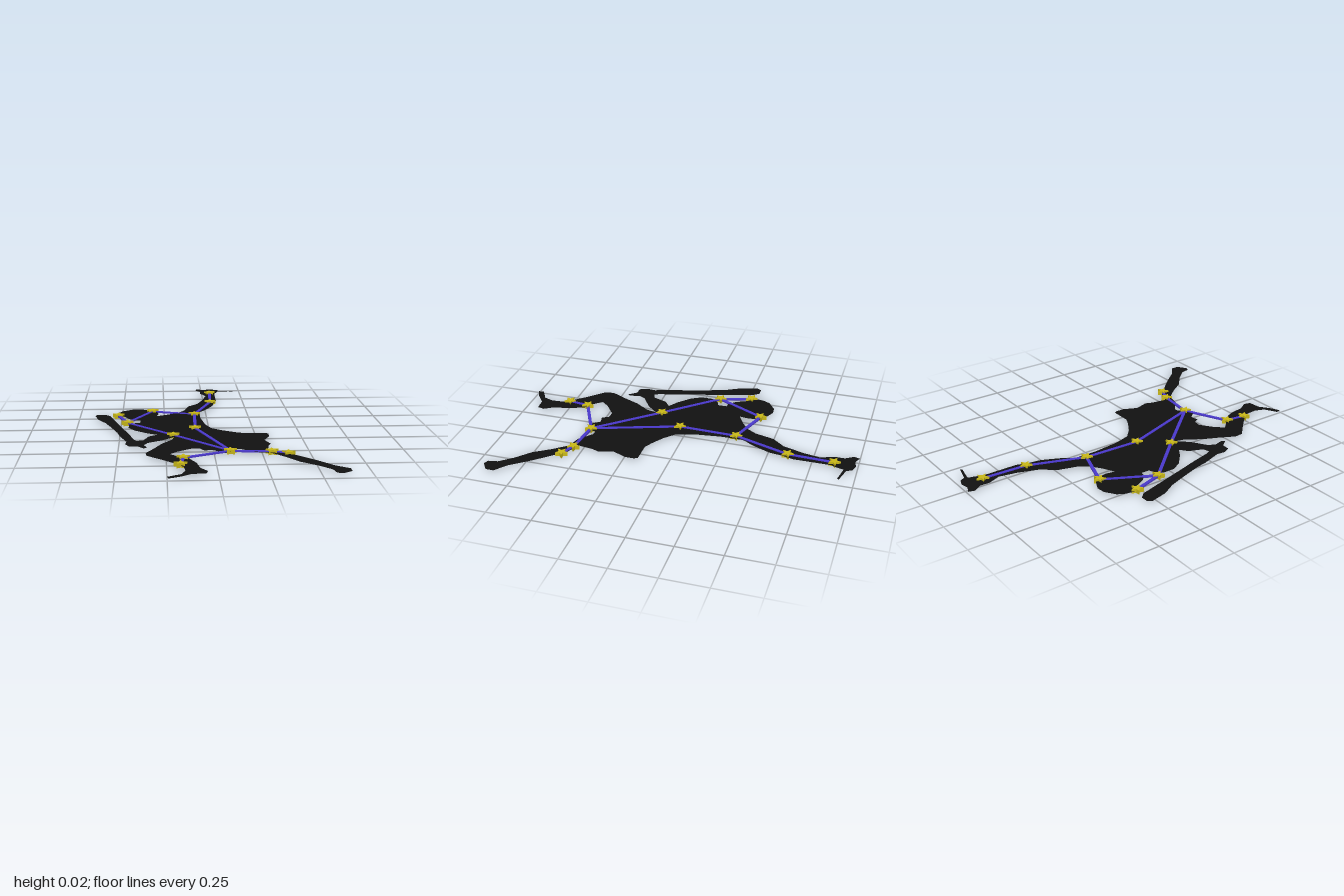
import * as THREE from 'three';

const MID = 0.012; // height of the flat figure
const black = new THREE.MeshStandardMaterial({ color: 0x111111, side: THREE.DoubleSide });
const purple = new THREE.MeshStandardMaterial({ color: 0x4a38cc });
const gold = new THREE.MeshStandardMaterial({ color: 0xc9b818 });

// Outlines seen from above: x, z pairs in hundredths of a unit
const outlines = {
  headAndTorso: [
    -53, -30, -52, -35, -50, -39, -44, -43, -39, -43.5, -34, -41, -29.5, -38, -28.5, -31, -29.5, -25.5,
    -23, -29, -17, -33, -4, -34, -4, -21, -2, -5, 1, 4.5, 7, 10, 14, 14.5, 19, 17, 31, 17, 32, 19, 32, 24,
    28.5, 32, 31, 40, 29, 45, 28, 53, 14, 49.5, 11, 49.5, 9.5, 55, 4, 56, -0.5, 50.5, -5, 51.5, -7, 48,
    -11.5, 47.5, -21.5, 29, -20, 23, -29.5, 18, -35, 14.5, -42, 8, -45.5, 2, -45.5, -5, -42, -9,
    -39, -10, -39, -15, -42, -15.5, -45.5, -19, -48.5, -25],
  raisedArm: [
    -17, -33, -13, -39, -10, -50, -4, -57, -2, -63, 0, -69, 2, -79, -1, -86, -1, -92, -4, -96.5, -3, -100,
    1, -98, 6, -99, 10, -97.5, 11.5, -94.5, 21, -92, 20.5, -91, 10.5, -93, 9.5, -89, 8, -86, 8, -74, 8, -65,
    6, -58, 5, -51, 0, -40, -4, -34, -4, -21, -20, -25],
  loweredArm: [
    -29.5, 18, -34, 21.5, -37, 29.5, -42, 31, -46, 32, -46.5, 37, -44.5, 41.5, -40, 41.5, -36.5, 39,
    -34.5, 35, -26, 29.5, -20, 23],
  club: [
    -66, -28, -64.5, -30.5, -60, -30.5, -57, -27, -54.5, -18, -52, -9, -48, 5.5, -45, 16, -42, 28,
    -36.5, 39, -35, 44.5, -36.5, 46, -40, 41.5, -46, 32, -50, 20, -51.5, 12.5, -55.5, 0, -59, -10, -63.5, -18],
  bentLeg: [
    -20, 23, -21.5, 29, -27, 37, -31, 46, -35.5, 55, -35, 60, -27, 68, -20.5, 75, -16.5, 81, -16, 87.5,
    -18, 93, -25, 97, -24.5, 100, -19, 97.5, -13, 93, -6, 92.5, -5, 88.5, -8.5, 83, -10, 74, -14, 65,
    -19, 62, -23, 57.5, -19, 53, -11.5, 47.5],
  straightLeg: [
    28, 53, 35, 56, 43, 64, 51, 73, 58, 82, 65, 87.5, 65, 92, 60, 95.5, 57, 94.5, 56, 89, 50, 82, 42, 75,
    36, 66, 29.5, 58, 21.5, 56, 14, 49.5, 30, 40],
};

// Star centres (x, z) and the pairs joined by lines
const stars = [
  [0.05, -0.87], [0.04, -0.61], [-0.07, -0.29], [-0.32, -0.375], [-0.52, -0.275], [-0.465, -0.095],
  [-0.205, 0.195], [-0.08, 0.045], [0.085, 0.53], [0.3, 0.553], [0.383, 0.59], [-0.163, 0.647], [-0.18, 0.765]];
const links = [
  [0, 1], [1, 2], [2, 3], [3, 5], [4, 5], [5, 6], [6, 8], [2, 7], [7, 8], [8, 9], [9, 10], [8, 11], [11, 12]];

function addMesh(parent, name, geometry, material) {
  const mesh = new THREE.Mesh(geometry, material);
  mesh.name = name;
  parent.add(mesh);
  return mesh;
}

function addGroup(parent, name) {
  const group = new THREE.Group();
  group.name = name;
  parent.add(group);
  return group;
}

function starGeometry(outer, inner, depth) {
  const points = [];
  for (let i = 0; i < 10; i++) {
    const r = i % 2 ? inner : outer;
    const a = Math.PI / 2 + (i * Math.PI) / 5;
    points.push(new THREE.Vector2(r * Math.cos(a), r * Math.sin(a)));
  }
  return new THREE.ExtrudeGeometry(new THREE.Shape(points), { depth, bevelEnabled: false }).rotateX(-Math.PI / 2);
}

export function createModel() {
  const model = new THREE.Group();
  model.name = 'constellationFigure';

  // Paper-thin silhouette lying flat
  const figure = addGroup(model, 'silhouette');
  for (const [name, o] of Object.entries(outlines)) {
    const points = [];
    for (let i = 0; i < o.length; i += 2) points.push(new THREE.Vector2(o[i] / 100, -o[i + 1] / 100));
    const geometry = new THREE.ShapeGeometry(new THREE.Shape(points)).rotateX(-Math.PI / 2);
    addMesh(figure, name, geometry, black).position.y = MID;
  }

  // Bars joining the stars
  const lines = addGroup(model, 'constellationLines');
  for (const [a, b] of links) {
    const [x1, z1] = stars[a], [x2, z2] = stars[b];
    const dx = x2 - x1, dz = z2 - z1;
    const bar = addMesh(lines, 'line', new THREE.BoxGeometry(0.018, 0.008, Math.hypot(dx, dz)), purple);
    bar.position.set((x1 + x2) / 2, MID, (z1 + z2) / 2);
    bar.rotation.y = Math.atan2(dx, dz);
  }

  // Five-pointed stars, thick enough to show on both faces
  const starGroup = addGroup(model, 'stars');
  const geometry = starGeometry(0.036, 0.016, 2 * MID);
  for (const [x, z] of stars) addMesh(starGroup, 'star', geometry, gold).position.set(x, 0, z);

  return model;
}
